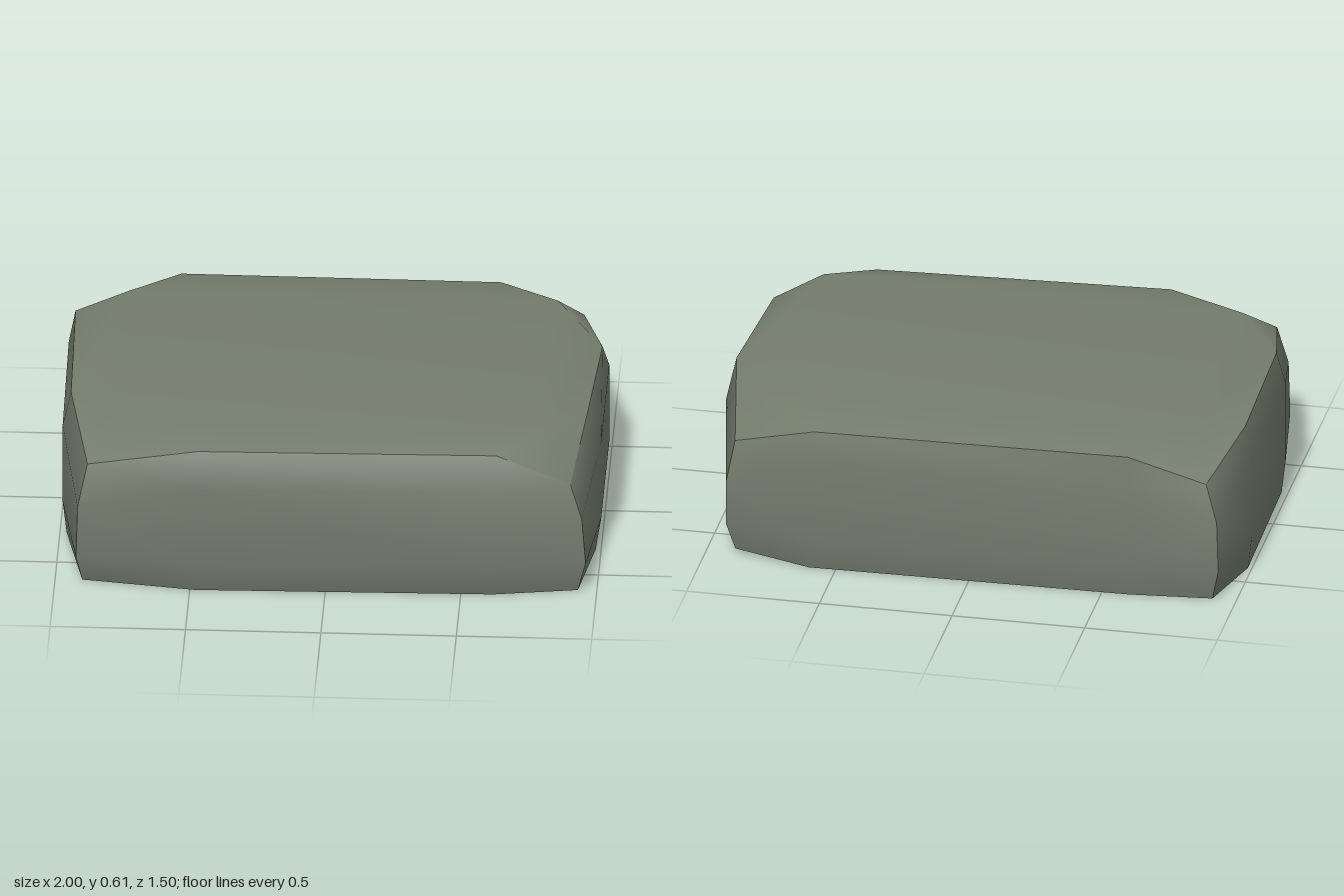
import * as THREE from 'three';

// Horizontal rings of 12 points, from the front right corner (-x, +z) round by +x:
// corner, two front, corner, two left side, corner, two back, corner, two right side.
const base = [
  [-0.90, 0, 0.63], [-0.48, 0, 0.69], [0.62, 0, 0.67], [0.93, 0, 0.62], [0.98, 0, 0.30], [0.98, 0, -0.30],
  [0.89, 0.02, -0.65], [0.60, 0, -0.71], [-0.60, 0, -0.69], [-0.91, 0, -0.66], [-0.985, 0, -0.38], [-0.975, 0, 0.27],
];
const low = [
  [-0.92, 0.12, 0.685], [-0.50, 0.12, 0.73], [0.62, 0.13, 0.715], [0.96, 0.13, 0.655], [1, 0.13, 0.30], [1, 0.13, -0.30],
  [0.92, 0.13, -0.675], [0.60, 0.13, -0.75], [-0.60, 0.13, -0.72], [-0.94, 0.13, -0.70], [-1, 0.13, -0.38], [-0.99, 0.13, 0.27],
];
const high = [
  [-0.915, 0.33, 0.68], [-0.50, 0.45, 0.75], [0.62, 0.45, 0.72], [0.945, 0.30, 0.63], [1, 0.45, 0.30], [1, 0.45, -0.30],
  [0.92, 0.30, -0.68], [0.60, 0.45, -0.75], [-0.60, 0.45, -0.72], [-0.93, 0.32, -0.68], [-1, 0.45, -0.38], [-0.99, 0.45, 0.27],
];
const rim = [
  [-0.88, 0.49, 0.64], [-0.47, 0.58, 0.69], [0.63, 0.57, 0.65], [0.90, 0.42, 0.58], [0.95, 0.58, 0.32], [0.98, 0.58, -0.20],
  [0.89, 0.465, -0.655], [0.58, 0.56, -0.715], [-0.60, 0.57, -0.705], [-0.88, 0.45, -0.63], [-0.975, 0.58, -0.38], [-0.96, 0.58, 0.25],
];

// Smooth surface over a grid of points; rows run upward, each quad split on its short diagonal
function patch(rows) {
  const pts = rows.flat().map((p) => new THREE.Vector3(...p));
  const n = rows[0].length;
  const index = [];
  for (let r = 0; r < rows.length - 1; r++) {
    for (let c = 0; c < n - 1; c++) {
      const a = r * n + c, b = a + 1, d = a + n, e = d + 1;
      if (pts[a].distanceTo(pts[e]) < pts[b].distanceTo(pts[d])) index.push(a, b, e, a, e, d);
      else index.push(a, b, d, b, e, d);
    }
  }
  const geometry = new THREE.BufferGeometry().setFromPoints(pts);
  geometry.setIndex(index);
  geometry.computeVertexNormals();
  return geometry;
}

// 4 x 4 grid that closes a ring, with four inner points at height y
function capRows(ring, y) {
  return [
    [ring[0], ring[1], ring[2], ring[3]],
    [ring[11], [-0.78, y, 0.50], [0.80, y, 0.50], ring[4]],
    [ring[10], [-0.78, y, -0.50], [0.80, y, -0.50], ring[5]],
    [ring[9], ring[8], ring[7], ring[6]],
  ];
}

export function createModel() {
  const group = new THREE.Group();
  group.name = 'stoneSlab';
  const stone = new THREE.MeshStandardMaterial({ color: 0x757d6d });
  stone.name = 'mossy grey stone';

  function add(name, rows) {
    const mesh = new THREE.Mesh(patch(rows), stone);
    mesh.name = name;
    group.add(mesh);
  }

  // Four bulging sides, meeting in sharp corners
  ['frontFace', 'leftFace', 'backFace', 'rightFace'].forEach((name, side) => {
    add(name, [base, low, high, rim].map((ring) => [0, 1, 2, 3].map((i) => ring[(side * 3 + i) % 12])));
  });

  // Gently domed top and flat underside
  add('topFace', capRows(rim, 0.605));
  add('underside', capRows(base, 0).reverse());
  return group;
}
